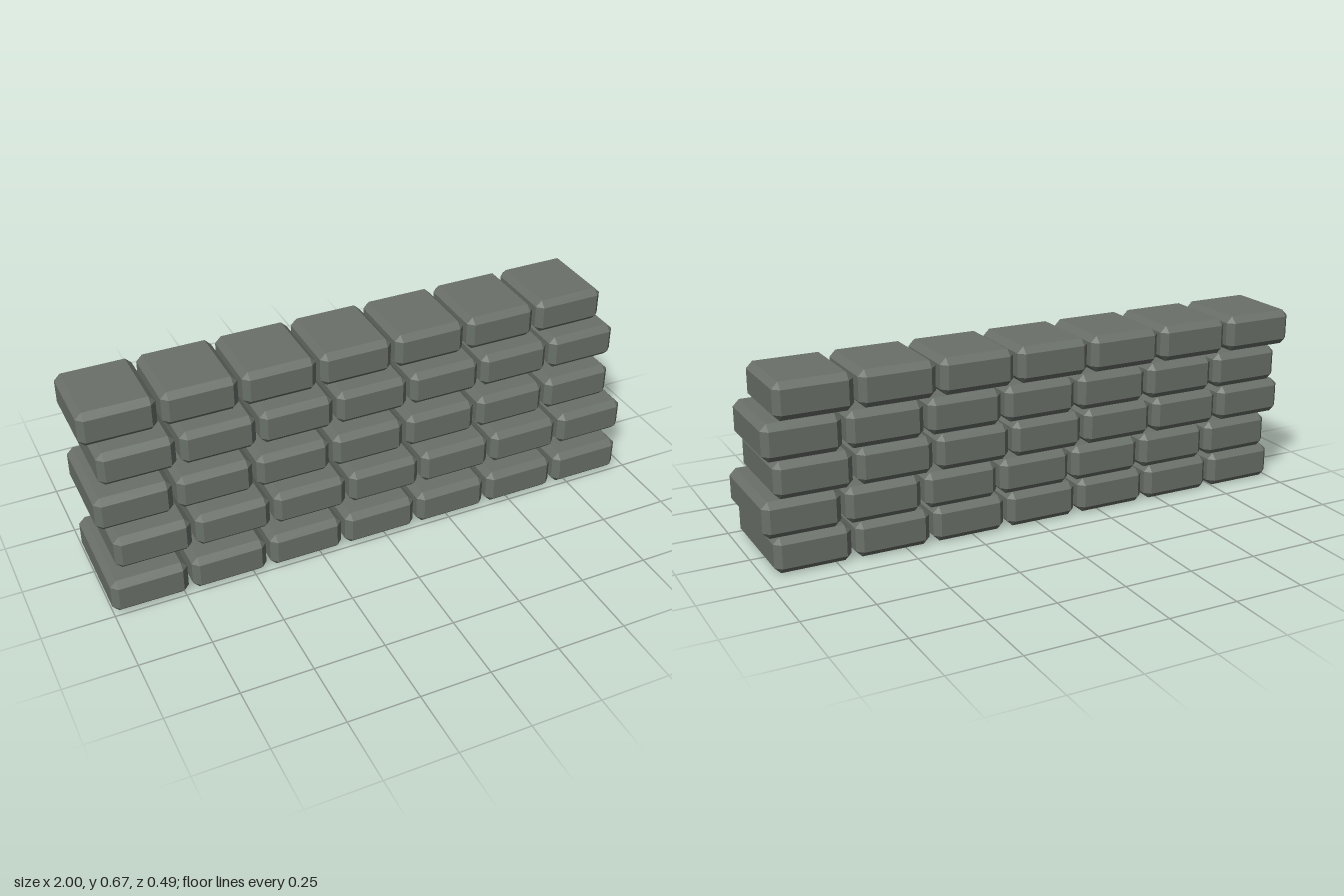
import * as THREE from 'three';
import { ConvexGeometry } from 'three/addons/geometries/ConvexGeometry.js';

const COLUMNS = 7, BRICK_WIDTH = 0.267, BRICK_HEIGHT = 0.127, BEVEL = 0.022;
const PITCH_X = 0.2825, PITCH_Y = 0.1366, STAGGER = 0.038;

// Box with every edge chamfered and every corner cut to a triangle
function chamferedBox(width, height, depth, bevel) {
  const half = [width / 2, height / 2, depth / 2];
  const points = [];
  for (const sx of [-1, 1]) for (const sy of [-1, 1]) for (const sz of [-1, 1]) {
    for (let axis = 0; axis < 3; axis++) {
      const [x, y, z] = half.map((h, i) => (i === axis ? h : h - bevel));
      points.push(new THREE.Vector3(sx * x, sy * y, sz * z));
    }
  }
  return new ConvexGeometry(points);
}

export function createModel() {
  const wall = new THREE.Group();
  wall.name = 'stoneWall';
  const stone = new THREE.MeshStandardMaterial({ color: 0x6a7069 });
  stone.name = 'grey stone';

  // Front and back of each course, bottom to top: the wall tapers and leans back
  const courses = [
    [0.247, -0.168], [0.199, -0.188], [0.15, -0.207], [0.1, -0.226], [0.052, -0.246],
  ];

  courses.forEach(([front, back], row) => {
    const course = new THREE.Group();
    course.name = `course${row + 1}`;
    course.position.set(
      -1 + BRICK_WIDTH / 2 + (row % 2) * STAGGER,
      BRICK_HEIGHT / 2 + row * PITCH_Y,
      (front + back) / 2
    );
    const geometry = chamferedBox(BRICK_WIDTH, BRICK_HEIGHT, front - back, BEVEL);
    for (let column = 0; column < COLUMNS; column++) {
      const brick = new THREE.Mesh(geometry, stone);
      brick.name = `brick${column + 1}`;
      brick.position.x = column * PITCH_X;
      course.add(brick);
    }
    wall.add(course);
  });

  return wall;
}
